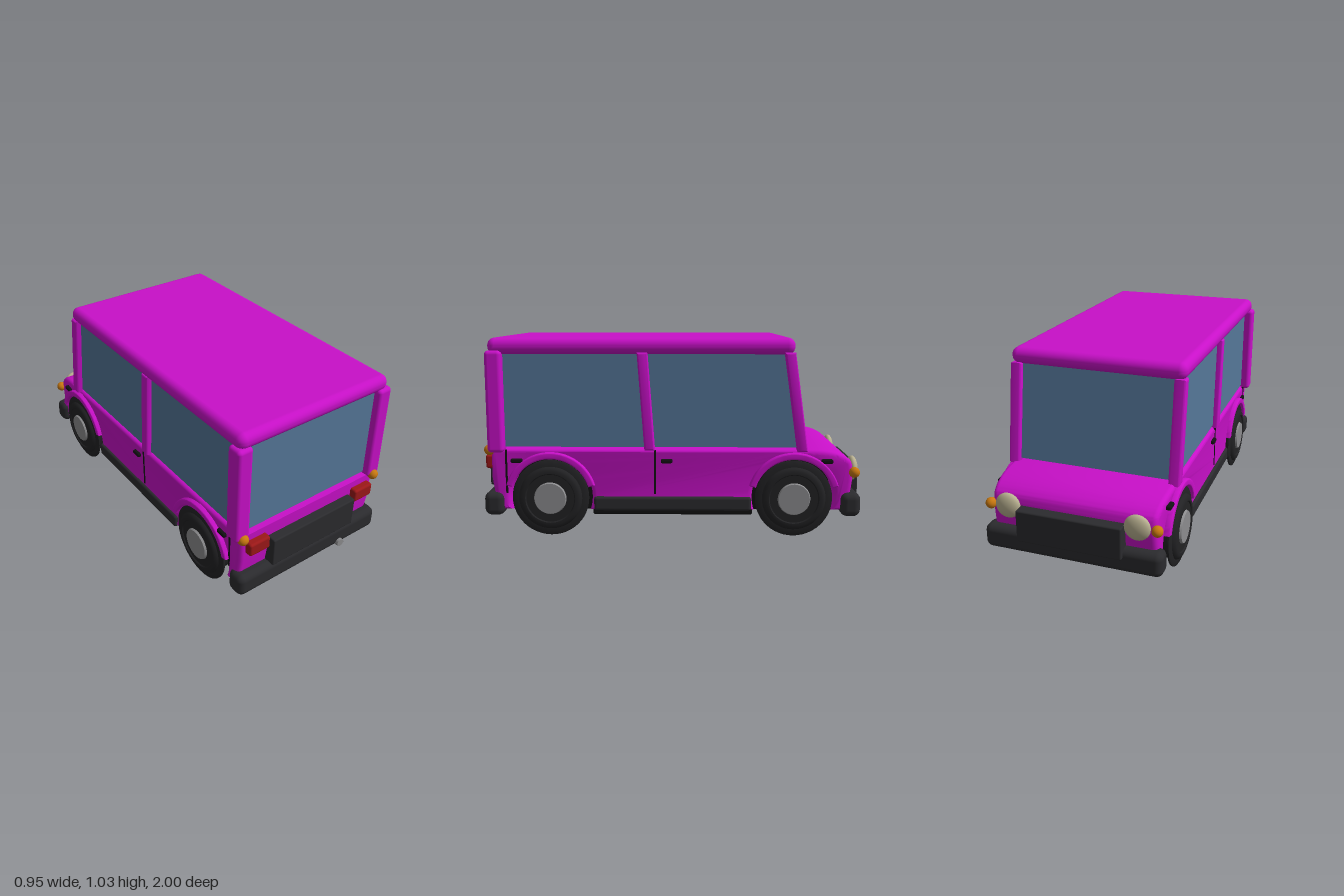
import * as THREE from 'three';
import { toCreasedNormals } from 'three/addons/utils/BufferGeometryUtils.js';
import { RoundedBoxGeometry } from 'three/addons/geometries/RoundedBoxGeometry.js';

const mat = (color) => new THREE.MeshStandardMaterial({ color });
const paint = mat(0xc810c8), glass = mat(0x557799), rubber = mat(0x222224), black = mat(0x111112);
const trim = mat(0x2b2b2e), steel = mat(0x8c8c8e), amber = mat(0xc87810), red = mat(0x9c1818), lamp = mat(0xb8b090);
const WHEEL_Z = [0.635, -0.63], AXLE_Y = 0.2;

export function createModel() {
  const model = new THREE.Group();

  const add = (name, geometry, material, x = 0, y = 0, z = 0) => {
    const mesh = new THREE.Mesh(geometry, material);
    mesh.name = name;
    mesh.position.set(x, y, z);
    model.add(mesh);
    return mesh;
  };

  // Rounded box given by its ranges on each axis
  const block = (name, material, [x0, x1], [y0, y1], [z0, z1], r = 0.01) =>
    add(name, new RoundedBoxGeometry(x1 - x0, y1 - y0, z1 - z0, 3, r), material,
      (x0 + x1) / 2, (y0 + y1) / 2, (z0 + z1) / 2);

  // Side profile drawn as (z, y), extruded across x and centred
  const slab = (shape, width, bevel) => {
    const geo = new THREE.ExtrudeGeometry(shape, {
      depth: width - 2 * bevel, curveSegments: 20, bevelEnabled: bevel > 0,
      bevelSize: bevel, bevelThickness: bevel, bevelOffset: -bevel, bevelSegments: 4,
    });
    geo.translate(0, 0, -(width - 2 * bevel) / 2);
    geo.rotateY(-Math.PI / 2);
    return toCreasedNormals(geo, 0.6);
  };
  const polygon = (points) => new THREE.Shape(points.map(([z, y]) => new THREE.Vector2(z, y)));

  // Lower body with bonnet and wheel cut-outs
  const body = new THREE.Shape();
  body.moveTo(-0.91, 0.13);
  for (const z of [...WHEEL_Z].reverse()) body.absarc(z, AXLE_Y, 0.215, Math.PI + 0.33, -0.33, true);
  body.lineTo(0.92, 0.13);
  body.lineTo(0.945, 0.3);
  body.lineTo(0.945, 0.455);
  body.lineTo(-0.7, 0.455);
  body.bezierCurveTo(-0.82, 0.455, -0.9, 0.43, -0.93, 0.39);
  body.bezierCurveTo(-0.95, 0.35, -0.945, 0.26, -0.91, 0.13);
  const bodyGeo = slab(body, 0.87, 0.025);
  // narrow the nose a little
  const pos = bodyGeo.attributes.position;
  for (let i = 0; i < pos.count; i++) {
    const t = Math.max(0, -0.7 - pos.getZ(i)) / 0.25;
    pos.setX(i, pos.getX(i) * (1 - 0.04 * t * t));
  }
  add('lowerBody', bodyGeo, paint);

  // Underbody, filling the space between the wheels
  block('underbody', black, [-0.3, 0.3], [0.1, 0.4], [-0.9, 0.9]);
  block('floorPan', black, [-0.41, 0.41], [0.1, 0.2], [-0.42, 0.42]);
  block('bellyPlate', trim, [-0.18, 0.18], [0.077, 0.12], [-0.02, 0.43]);
  block('engineGuard', black, [-0.18, 0.18], [0.08, 0.12], [-0.5, -0.33]);

  // Exhaust
  const muffler = add('muffler', new THREE.CapsuleGeometry(0.035, 0.26, 4, 16), steel, 0.2, 0.105, 0.2);
  muffler.rotation.x = Math.PI / 2;
  const pipe = new THREE.CatmullRomCurve3([[0.2, 0.1, 0.3], [0.2, 0.1, 0.6], [0.196, 0.125, 0.8], [0.196, 0.127, 1]]
    .map((p) => new THREE.Vector3(...p)));
  add('exhaustPipe', new THREE.TubeGeometry(pipe, 24, 0.022, 12), steel);
  const tip = add('exhaustTip', new THREE.CircleGeometry(0.022, 12), steel, 0.196, 0.127, 1);
  tip.material.side = THREE.DoubleSide;

  // Cabin glass and roof
  add('cabinGlass', slab(polygon([[-0.675, 0.465], [0.92, 0.465], [0.92, 0.955], [-0.6, 0.955]]), 0.84, 0), glass);
  block('roof', paint, [-0.455, 0.455], [0.945, 1.03], [-0.625, 0.945], 0.04);

  // Wheel profile: wide tyre, thin outer tread disc, rim step
  const wheelGeo = new THREE.LatheGeometry([
    [0, 0.3], [0.145, 0.3], [0.163, 0.315], [0.163, 0.433], [0.193, 0.433], [0.2, 0.436],
    [0.2, 0.444], [0.193, 0.448], [0.165, 0.45], [0.158, 0.462], [0.145, 0.468],
    [0.13, 0.468], [0.125, 0.462], [0, 0.462],
  ].map((p) => new THREE.Vector2(...p)), 48);
  wheelGeo.rotateZ(-Math.PI / 2);
  const tyreGeo = toCreasedNormals(wheelGeo, 0.7);
  const hubGeo = new THREE.CylinderGeometry(0.08, 0.086, 0.014, 32);
  hubGeo.rotateZ(-Math.PI / 2);

  const flare = new THREE.Shape();
  flare.absarc(0, 0, 0.24, 0.28, Math.PI - 0.28, false);
  flare.absarc(0, 0, 0.205, Math.PI - 0.28, 0.28, true);
  const flareGeo = slab(flare, 0.06, 0.008);

  const sidePillar = (name, points, width, x) => add(name, slab(polygon(points), width, 0.012), paint, x);

  for (const s of [1, -1]) {
    for (const z of WHEEL_Z) {
      const end = z > 0 ? 'rear' : 'front';
      const tyre = add(end + 'Tyre', tyreGeo, rubber, 0, AXLE_Y, z);
      tyre.rotation.y = s > 0 ? 0 : Math.PI;
      const hub = add(end + 'Hub', hubGeo, steel, s * 0.466, AXLE_Y, z);
      hub.rotation.y = tyre.rotation.y;
      add(end + 'WheelArch', flareGeo, paint, s * 0.43, AXLE_Y, z);
    }

    // Roof pillars
    block('rearPillar', paint, s > 0 ? [0.385, 0.47] : [-0.47, -0.385], [0.44, 0.965], [0.87, 0.955], 0.02);
    sidePillar('middlePillar', [[0.09, 0.45], [0.145, 0.45], [0.182, 0.955], [0.127, 0.955]], 0.05, s * 0.425);
    sidePillar('frontPillar', [[-0.7, 0.445], [-0.645, 0.445], [-0.57, 0.955], [-0.625, 0.955]], 0.06, s * 0.425);

    // Door seams, handles and running board
    for (const z of [0.09, 0.865])
      add('doorSeam', new THREE.BoxGeometry(0.012, 0.23, 0.01), black, s * 0.432, 0.335, z);
    for (const z of [0.81, 0.03, -0.8])
      add('doorHandle', new RoundedBoxGeometry(0.03, 0.022, 0.06, 2, 0.008), black, s * 0.438, 0.395, z);
    block('runningBoard', trim, s > 0 ? [0.37, 0.45] : [-0.45, -0.37], [0.13, 0.205], [-0.41, 0.41], 0.015);

    // Lamps
    const headlight = add('headlight', new THREE.SphereGeometry(0.065, 28, 18), lamp, s * 0.33, 0.34, -0.95);
    headlight.scale.z = 0.45;
    add('frontIndicator', new THREE.SphereGeometry(0.028, 20, 14), amber, s * 0.425, 0.335, -0.945);
    add('rearIndicator', new THREE.SphereGeometry(0.028, 20, 14), amber, s * 0.426, 0.45, 0.952);
    block('tailLight', red, s > 0 ? [0.28, 0.402] : [-0.402, -0.28], [0.345, 0.417], [0.93, 0.982], 0.012);
  }

  // Bumpers and end panels
  block('rearBumper', trim, [-0.458, 0.458], [0.102, 0.226], [0.88, 0.985], 0.035);
  block('frontBumper', trim, [-0.458, 0.458], [0.102, 0.226], [-0.98, -0.877], 0.035);
  block('rearPanel', trim, [-0.268, 0.268], [0.225, 0.386], [0.93, 0.995], 0.008);
  block('frontGrille', trim, [-0.268, 0.268], [0.18, 0.345], [-1, -0.92], 0.008);

  return model;
}
